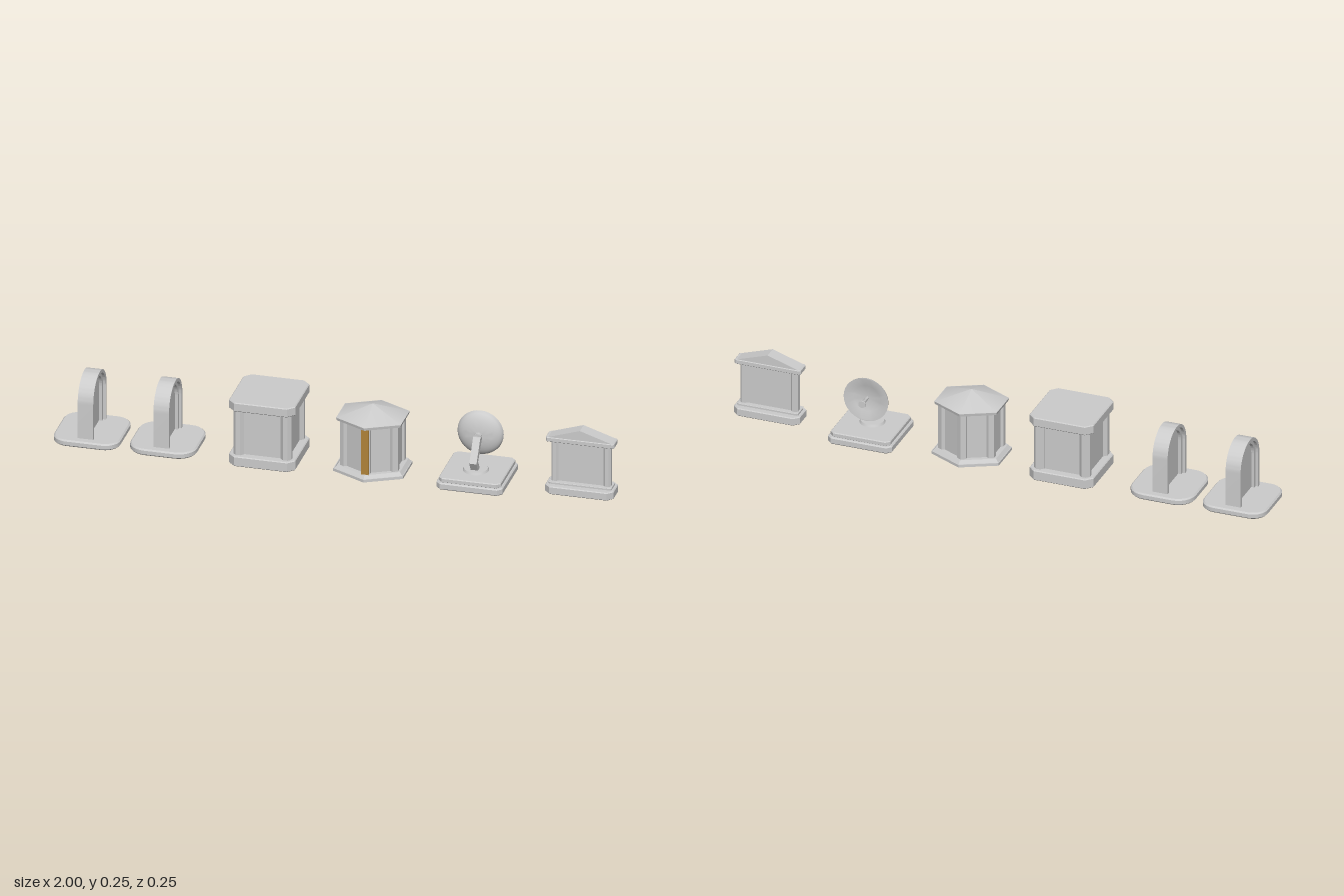
import * as THREE from 'three';
import { mergeVertices, toCreasedNormals } from 'three/addons/utils/BufferGeometryUtils.js';

const grey = new THREE.MeshStandardMaterial({ color: 0xcccccc });
const brown = new THREE.MeshStandardMaterial({ color: 0xb08338 });
const greyDouble = new THREE.MeshStandardMaterial({ color: 0xcccccc, side: THREE.DoubleSide });

function add(parent, name, geometry, x = 0, y = 0, z = 0, material = grey) {
  const mesh = new THREE.Mesh(toCreasedNormals(geometry, 0.5), material);
  mesh.name = name;
  mesh.position.set(x, y, z);
  parent.add(mesh);
  return mesh;
}

function group(parent, name, x) {
  const g = new THREE.Group();
  g.name = name;
  g.position.x = x;
  parent.add(g);
  return g;
}

// Rectangle outline with round (or cut) corners
function cornered(w, d, r, cut) {
  const s = new THREE.Shape();
  const a = w / 2, b = d / 2;
  [[a, b, 0], [-a, b, 1], [-a, -b, 2], [a, -b, 3]].forEach(([x, y, q]) => {
    const cx = x - Math.sign(x) * r, cy = y - Math.sign(y) * r;
    const n = cut ? 1 : 6;
    for (let i = 0; i <= n; i++) {
      const t = (q + i / n) * Math.PI / 2;
      const px = cx + r * Math.cos(t), py = cy + r * Math.sin(t);
      if (q === 0 && i === 0) s.moveTo(px, py);
      else s.lineTo(px, py);
    }
  });
  return s;
}

// Flat slab standing on its local y = 0, with a small bevel
function slab(w, h, d, r, cut = false, bevel = 0.003) {
  const g = new THREE.ExtrudeGeometry(cornered(w - 2 * bevel, d - 2 * bevel, r, cut), {
    depth: h - 2 * bevel, bevelEnabled: true, bevelSize: bevel, bevelThickness: bevel, bevelSegments: 1,
  });
  return g.rotateX(-Math.PI / 2).translate(0, bevel, 0);
}

// Upright round-headed outline
function archOutline(target, half, bottom, spring) {
  target.moveTo(-half, bottom);
  target.lineTo(half, bottom);
  target.lineTo(half, spring);
  target.absarc(0, spring, half, 0, Math.PI, false);
  target.closePath();
  return target;
}

// Extrude a z/y outline sideways, centred on x = 0
function sideways(shape, width) {
  return new THREE.ExtrudeGeometry(shape, { depth: width, bevelEnabled: false, curveSegments: 18 })
    .translate(0, 0, -width / 2).rotateY(-Math.PI / 2);
}

function archShrine(parent, x, corner) {
  const g = group(parent, 'archShrine', x);
  add(g, 'basePlate', slab(0.238, 0.024, 0.236, corner, false, 0.005));
  const ring = (outer, inner, width, name) => {
    const s = archOutline(new THREE.Shape(), outer, 0.02, 0.155);
    s.holes.push(archOutline(new THREE.Path(), inner, 0.021, 0.155));
    add(g, name, sideways(s, width));
  };
  ring(0.09, 0.078, 0.056, 'archFrame');
  ring(0.079, 0.066, 0.036, 'archInnerStep');
  add(g, 'archPanel', sideways(archOutline(new THREE.Shape(), 0.068, 0.02, 0.155), 0.014));
}

function squarePavilion(parent) {
  const g = group(parent, 'squarePavilion', -0.245);
  add(g, 'base', slab(0.238, 0.038, 0.238, 0.022, true));
  add(g, 'cap', slab(0.238, 0.034, 0.238, 0.022, true), 0, 0.211, 0);
  add(g, 'walls', new THREE.BoxGeometry(0.182, 0.18, 0.182), 0, 0.125, 0);
  for (const sx of [-1, 1]) for (const sz of [-1, 1]) {
    add(g, 'cornerPost', slab(0.038, 0.18, 0.038, 0.01, true, 0.001), sx * 0.085, 0.035, sz * 0.085);
  }
}

function hexPavilion(parent) {
  const g = group(parent, 'hexPavilion', 0.127);
  const stretch = 1.14;
  const hex = (name, top, bottom, y0, y1) => add(g, name,
    new THREE.CylinderGeometry(top, bottom, y1 - y0, 6).scale(stretch, 1, 1), 0, (y0 + y1) / 2, 0);
  hex('baseStep', 0.127, 0.127, 0, 0.01);
  hex('baseSlope', 0.114, 0.124, 0.01, 0.022);
  hex('walls', 0.097, 0.097, 0.02, 0.197);
  hex('eave', 0.118, 0.116, 0.194, 0.204);
  hex('roof', 0.0, 0.116, 0.204, 0.246);
  for (let i = 0; i < 6; i++) {
    const a = i * Math.PI / 3;
    const post = add(g, 'cornerPost', new THREE.CylinderGeometry(0.019, 0.019, 0.177, 6),
      Math.sin(a) * 0.089 * stretch, 0.108, Math.cos(a) * 0.089);
    post.rotation.y = a;
  }
  // Coloured strip on the front corner
  add(g, 'frontStrip', new THREE.BoxGeometry(0.026, 0.177, 0.014), 0, 0.108, 0.102, brown);
}

function dishAntenna(parent) {
  const g = group(parent, 'dishAntenna', 0.5);
  add(g, 'baseLower', slab(0.238, 0.026, 0.24, 0.014, true, 0.004), 0, 0, -0.006);
  add(g, 'baseUpper', slab(0.222, 0.018, 0.224, 0.012, true), 0, 0.024, -0.006);
  add(g, 'turntable', new THREE.CylinderGeometry(0.042, 0.046, 0.009, 24), 0, 0.046, 0.01);

  // Bent arm: outline in z and y
  const arm = new THREE.Shape([[0.006, 0.046], [0.03, 0.046], [0.052, 0.083], [0.0, 0.162],
    [-0.022, 0.162], [-0.022, 0.148], [0.03, 0.083]].map(([z, y]) => new THREE.Vector2(z, y)));
  add(g, 'arm', sideways(arm, 0.026));
  const hub = add(g, 'armHub', new THREE.CylinderGeometry(0.014, 0.014, 0.02, 12), 0, 0.158, -0.015);
  hub.rotation.x = Math.PI / 2;

  // Shallow bowl opening to the back
  const profile = [];
  for (let i = 0; i <= 8; i++) {
    const r = 0.083 * Math.sin(i / 8 * Math.PI / 2);
    profile.push(new THREE.Vector2(r, -0.034 * Math.cos(i / 8 * Math.PI / 2)));
  }
  profile.push(new THREE.Vector2(0.079, 0), new THREE.Vector2(0.05, -0.01), new THREE.Vector2(0, -0.016));
  const bowl = add(g, 'dishBowl', mergeVertices(new THREE.LatheGeometry(profile, 32)), 0, 0.158, -0.053, greyDouble);
  bowl.rotation.x = -Math.PI / 2;
  const horn = new THREE.LatheGeometry([[0, -0.02], [0.005, -0.02], [0.006, 0.022], [0.013, 0.034], [0.013, 0.04], [0, 0.04]]
    .map(([r, y]) => new THREE.Vector2(r, y)), 12);
  add(g, 'feedHorn', horn, 0, 0.158, -0.053).rotation.x = -Math.PI / 2;
}

function gableGate(parent) {
  const g = group(parent, 'gableGate', 0.877);
  add(g, 'base', slab(0.246, 0.03, 0.1, 0.018, true));
  add(g, 'plinth', slab(0.226, 0.01, 0.054, 0.004, true, 0.001), 0, 0.027, 0);
  add(g, 'panel', new THREE.BoxGeometry(0.17, 0.165, 0.016), 0, 0.117, 0);
  for (const s of [-1, 1]) {
    add(g, 'column', slab(0.026, 0.165, 0.03, 0.006, true, 0.001), s * 0.094, 0.034, 0);
  }
  add(g, 'lintel', slab(0.246, 0.017, 0.056, 0.004, true, 0.002), 0, 0.191, 0);
  const gable = new THREE.Shape();
  gable.moveTo(-0.12, 0.206);
  gable.lineTo(0.12, 0.206);
  gable.lineTo(0, 0.245);
  add(g, 'gableRoof', new THREE.ExtrudeGeometry(gable, { depth: 0.05, bevelEnabled: false }).translate(0, 0, -0.025));
}

export function createModel() {
  const model = new THREE.Group();
  model.name = 'miniatureBuildings';
  archShrine(model, -0.881, 0.05);
  archShrine(model, -0.609, 0.06);
  squarePavilion(model);
  hexPavilion(model);
  dishAntenna(model);
  gableGate(model);
  return model;
}
